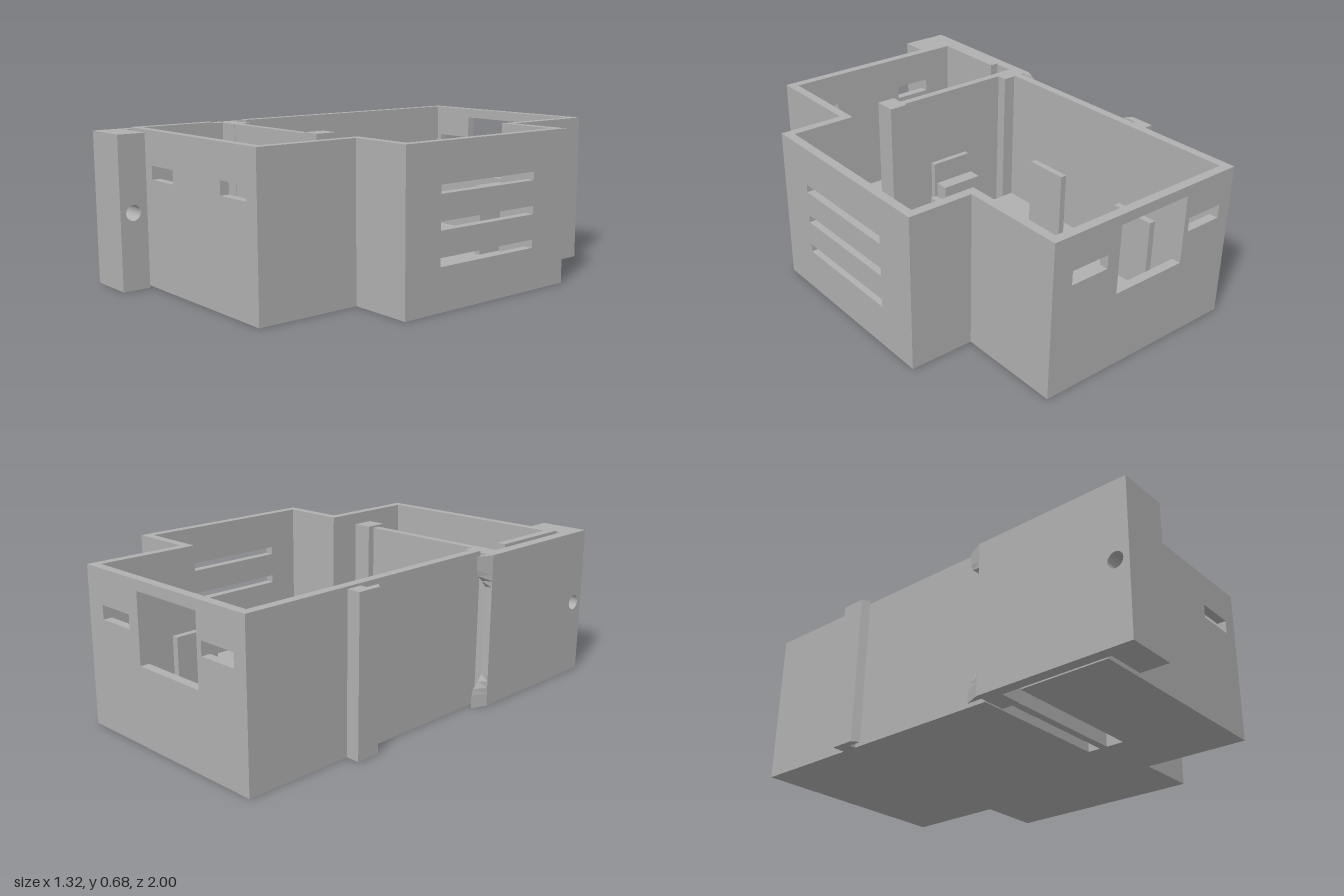
import * as THREE from 'three';

const H = 0.68, T = 0.04, CLIP_H = 0.67;
const grey = new THREE.MeshStandardMaterial({ color: 0xb0b0b0 });
grey.name = 'plain grey';

export function createModel() {
  const model = new THREE.Group();
  model.name = 'openEnclosure';

  const add = (name, geometry) => {
    const mesh = new THREE.Mesh(geometry, grey);
    mesh.name = name;
    model.add(mesh);
    return mesh;
  };

  // Box given by its limits
  const box = (name, x0, x1, y0, y1, z0, z1) => add(name,
    new THREE.BoxGeometry(x1 - x0, y1 - y0, z1 - z0)
      .translate((x0 + x1) / 2, (y0 + y1) / 2, (z0 + z1) / 2));

  // Floor-plan outline of [x, z] points raised from y0 to y1
  const planGeometry = (points, y0, y1, steps = 1) => {
    const shape = new THREE.Shape(points.map(([x, z]) => new THREE.Vector2(x, -z)));
    return new THREE.ExtrudeGeometry(shape, { depth: y1 - y0, bevelEnabled: false, steps })
      .rotateX(-Math.PI / 2).translate(0, y0, 0);
  };

  const rectangle = (Kind, u0, u1, v0, v1) => new Kind([
    [u0, v0], [u1, v0], [u1, v1], [u0, v1]].map(p => new THREE.Vector2(...p)));

  // Upright panel with rectangular openings [u0, u1, y0, y1]
  const panel = (u0, u1, depth, openings) => {
    const shape = rectangle(THREE.Shape, u0, u1, T, H);
    for (const o of openings) shape.holes.push(rectangle(THREE.Path, ...o));
    return new THREE.ExtrudeGeometry(shape, { depth, bevelEnabled: false });
  };
  const wallAlongX = (name, x0, x1, z0, openings = []) =>
    add(name, panel(x0, x1, T, openings).translate(0, 0, z0));
  const wallAlongZ = (name, z0, z1, x0, openings = []) =>
    add(name, panel(z0, z1, T, openings).rotateY(-Math.PI / 2).translate(x0 + T, 0, 0));

  // Floor with the side bay and the open slot for the spring lever
  add('floor', planGeometry([
    [-0.6, -1], [0.365, -1], [0.365, -0.54], [0.655, -0.54], [0.655, 0.385],
    [0.365, 0.385], [0.365, 0.855], [-0.6, 0.855], [-0.6, 0.46], [0.06, 0.46],
    [0.06, 0.285], [-0.6, 0.285]], 0, T));

  // Walls with cable slots, window and vents
  wallAlongX('frontWall', -0.6, 0.365, 0.855 - T,
    [[-0.42, -0.245, 0.47, 0.53], [0.115, 0.295, 0.47, 0.53]]);
  wallAlongX('backWall', -0.6, 0.365, -1,
    [[-0.535, -0.355, 0.47, 0.53], [-0.33, 0.03, 0.335, 0.635], [0.09, 0.27, 0.47, 0.53]]);
  wallAlongZ('rightWallBack', -1 + T, 0.285, -0.6);
  wallAlongZ('rightWallFront', 0.46, 0.855 - T, -0.6);
  wallAlongZ('leftWallBack', -1 + T, -0.54 + T, 0.365 - T);
  wallAlongZ('leftWallFront', 0.385 - T, 0.855 - T, 0.365 - T);
  wallAlongX('bayBackWall', 0.365, 0.655, -0.54);
  wallAlongX('bayFrontWall', 0.365, 0.655, 0.385 - T);
  wallAlongZ('bayVentWall', -0.54 + T, 0.385 - T, 0.655 - T,
    [0.185, 0.33, 0.475].map(y => [-0.34, 0.2, y, y + 0.036]));

  // Standing supports inside
  for (const x of [-0.455, 0.13])
    for (const z of [-0.75, -0.21])
      box('support', x, x + 0.03, T, 0.37, z, z + 0.207);
  box('bracketStep', -0.25, -0.05, T, 0.28, 0.17, 0.232);
  box('bracketPlate', -0.25, -0.05, T, 0.37, 0.25, 0.275);

  // Spring lever: anchor post, thin beam, outer arm
  box('leverPost', 0.06, 0.145, T, H, 0.31, 0.41);
  box('leverBeam', -0.51, 0.06, 0, CLIP_H, 0.343, 0.378);
  add('leverArm', planGeometry([
    [-0.66, 0.295], [-0.51, 0.295], [-0.51, 0.38], [-0.61, 0.38],
    [-0.61, 0.875], [-0.66, 0.875]], 0, CLIP_H));

  // Hook tip, shortened over the middle of its height
  const tip = planGeometry([[-0.66, 0.295], [-0.63, 0.225], [-0.63, 0.295]], 0, CLIP_H, 24);
  const pos = tip.attributes.position;
  for (let i = 0; i < pos.count; i++) {
    const fromMiddle = Math.abs(pos.getY(i) - CLIP_H / 2);
    const reach = 0.08 + 0.92 * THREE.MathUtils.smoothstep(fromMiddle, 0.19, 0.27);
    pos.setZ(i, 0.295 + (pos.getZ(i) - 0.295) * reach);
  }
  tip.computeVertexNormals();
  add('leverHookTip', tip);

  // Drilled pull block at the front end of the arm
  const block = rectangle(THREE.Shape, 0.875, 1, 0, CLIP_H);
  block.holes.push(new THREE.Path().absarc(0.94, 0.335, 0.034, 0, Math.PI * 2, true));
  add('pullBlock', new THREE.ExtrudeGeometry(block,
    { depth: 0.225, bevelEnabled: false, curveSegments: 24 })
    .rotateY(-Math.PI / 2).translate(-0.435, 0, 0));

  // Fixed hook on the right side
  add('fixedHook', planGeometry([
    [-0.6, -0.51], [-0.66, -0.51], [-0.66, -0.4], [-0.63, -0.377],
    [-0.63, -0.44], [-0.6, -0.44]], 0, CLIP_H));

  return model;
}
